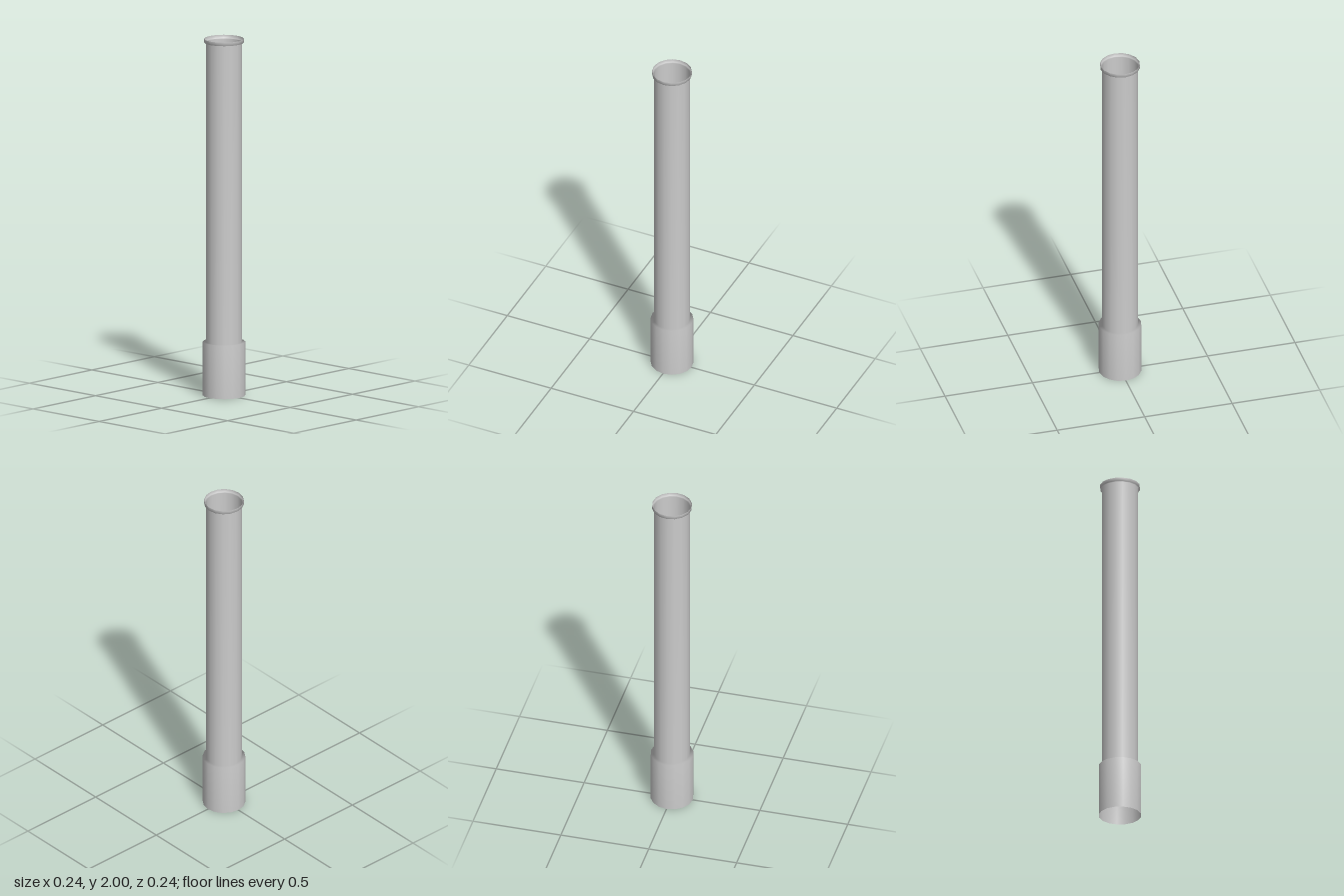
import * as THREE from 'three';

const SIDES = 16;

export function createModel() {
  const group = new THREE.Group();
  group.name = 'pipe';

  // Thin-walled open pipe: wide socket, long tube, small upright lip.
  // One continuous profile, so shading runs smoothly across the steps.
  const profile = [
    [0.118, 0], [0.118, 0.3],   // socket
    [0.1, 0.3], [0.1, 1.98],    // shoulder and tube
    [0.11, 1.98], [0.11, 2],    // flange and lip
  ].map(([r, y]) => new THREE.Vector2(r, y));

  const material = new THREE.MeshStandardMaterial({ color: 0xcccccc, side: THREE.DoubleSide });
  const wall = new THREE.Mesh(new THREE.LatheGeometry(profile, SIDES), material);
  wall.name = 'pipeWall';
  group.add(wall);

  return group;
}
